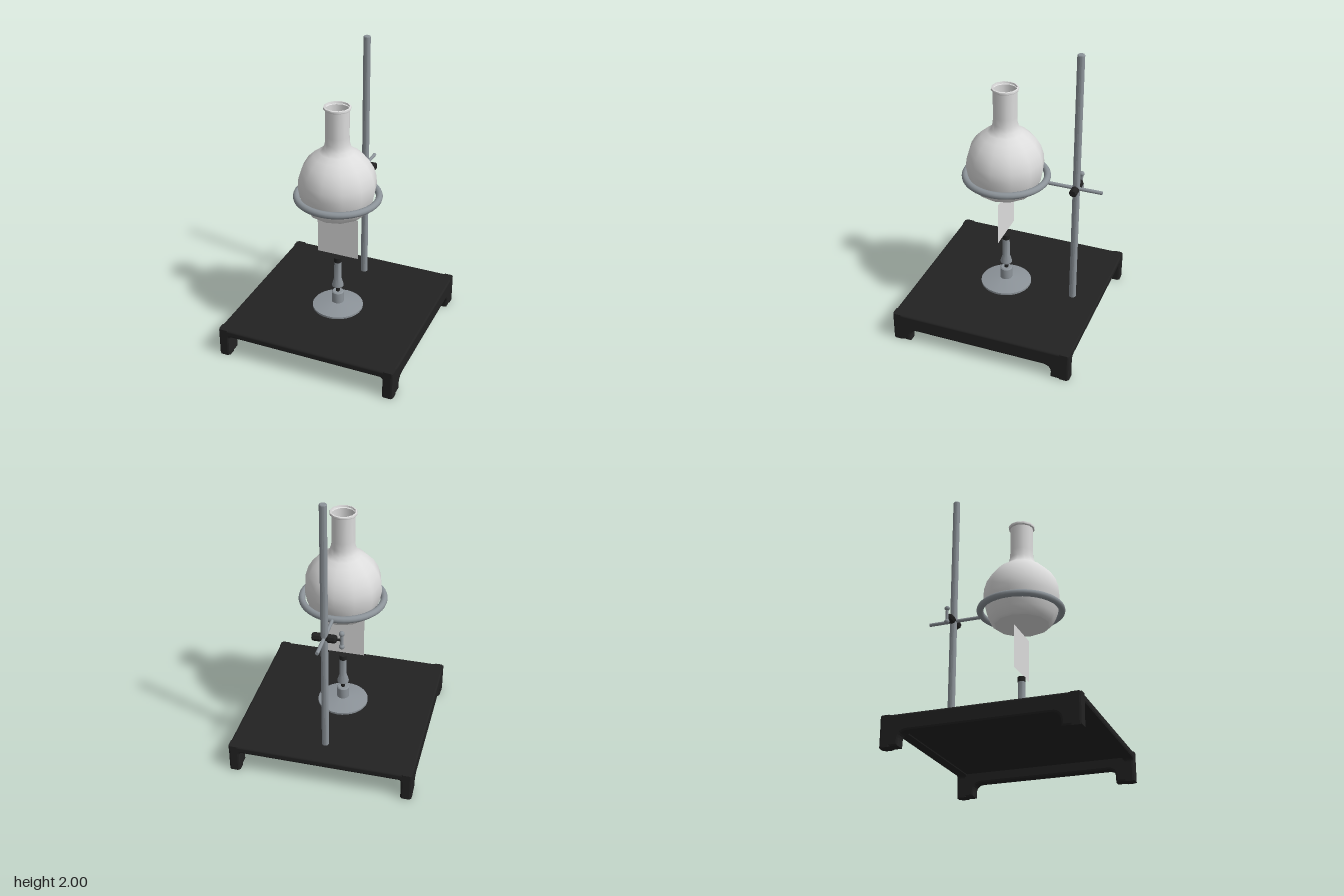
import * as THREE from 'three';
import { toCreasedNormals } from 'three/addons/utils/BufferGeometryUtils.js';
import { RoundedBoxGeometry } from 'three/addons/geometries/RoundedBoxGeometry.js';

const material = (name, color, side = THREE.FrontSide) => {
  const m = new THREE.MeshStandardMaterial({ color, side });
  m.name = name;
  return m;
};

export function createModel() {
  const black = material('black enamel', 0x222222);
  const steel = material('grey steel', 0x8c9399);
  const glass = material('pale glass', 0xdcdcdc, THREE.DoubleSide);

  const model = new THREE.Group();
  model.name = 'flaskOnStand';
  const add = (name, geometry, mat, x = 0, y = 0, z = 0, parent = model) => {
    const mesh = new THREE.Mesh(geometry, mat);
    mesh.name = name;
    mesh.position.set(x, y, z);
    parent.add(mesh);
    return mesh;
  };
  const lathe = (points, segments) =>
    new THREE.LatheGeometry(points.map(([r, y]) => new THREE.Vector2(r, y)), segments);
  const sharpLathe = (points, segments) => toCreasedNormals(lathe(points, segments), 0.6);

  const CZ = 0.048;    // axis of flask and burner
  const ROD_Z = -0.44; // axis of upright rod
  const RING_Y = 1.063;

  // Base: top plate and four arched walls that leave a foot at each corner
  const H = 0.625, B = 0.014;
  const base = new THREE.Group();
  base.name = 'base';
  model.add(base);
  const archedWall = (open, archY, fillet, thickness) => {
    const s = new THREE.Shape();
    s.moveTo(-H, 0);
    s.lineTo(-open, 0);
    s.lineTo(-open, archY - fillet);
    s.quadraticCurveTo(-open, archY, -open + fillet, archY);
    s.lineTo(open - fillet, archY);
    s.quadraticCurveTo(open, archY, open, archY - fillet);
    s.lineTo(open, 0);
    s.lineTo(H, 0);
    s.lineTo(H, 0.2);
    s.lineTo(-H, 0.2);
    s.closePath();
    const g = new THREE.ExtrudeGeometry(s, {
      depth: thickness - 2 * B, bevelThickness: B, bevelSize: B, bevelOffset: -B,
      bevelSegments: 2, curveSegments: 6,
    });
    return g.translate(0, 0, H - thickness + B);
  };
  add('topPlate', new RoundedBoxGeometry(2 * H, 0.04, 2 * H, 2, B), black, 0, 0.18, 0, base);
  const sideWall = archedWall(0.5, 0.09, 0.055, 0.075);
  const endWall = archedWall(0.55, 0.15, 0.02, 0.075);
  for (const i of [0, 1]) {
    add('endWall', endWall, black, 0, 0, 0, base).rotation.y = i * Math.PI;
    add('sideWall', sideWall, black, 0, 0, 0, base).rotation.y = (i + 0.5) * Math.PI;
  }

  // Upright rod with a slightly eased top
  add('uprightRod', sharpLathe([[0.024, 0.19], [0.024, 1.995], [0.02, 2], [0, 2]], 16),
    steel, 0, 0, ROD_Z);

  // Support ring and its arm
  const ring = add('supportRing', new THREE.TorusGeometry(0.272, 0.023, 12, 48), steel, 0, RING_Y, CZ - 0.003);
  ring.rotation.x = Math.PI / 2;
  const arm = add('ringArm', new THREE.CylinderGeometry(0.012, 0.012, 0.375, 10), steel, 0, RING_Y, -0.428);
  arm.rotation.x = Math.PI / 2;

  // Clamp across the rod, with a thumbscrew on one end
  const clamp = add('clampBody', sharpLathe([
    [0, -0.079], [0.021, -0.079], [0.028, -0.07], [0.028, -0.026], [0.022, -0.02],
    [0.022, 0.02], [0.028, 0.026], [0.028, 0.07], [0.021, 0.079], [0, 0.079],
  ], 8), black, 0, RING_Y, ROD_Z);
  clamp.rotation.z = Math.PI / 2;
  const shaft = add('screwShaft', new THREE.CylinderGeometry(0.008, 0.008, 0.04, 8), black, -0.095, RING_Y, ROD_Z);
  shaft.rotation.z = Math.PI / 2;
  add('screwBar', new THREE.CylinderGeometry(0.01, 0.01, 0.1, 8), steel, -0.112, RING_Y, ROD_Z);
  for (const s of [-1, 1]) {
    add('screwKnob', new THREE.SphereGeometry(0.018, 10, 8), steel, -0.112, RING_Y + s * 0.048, ROD_Z);
  }

  // Round-bodied flask with a flat bottom and open neck
  const flask = new THREE.Group();
  flask.name = 'flask';
  flask.position.z = CZ + 0.004;
  model.add(flask);
  add('flaskBody', lathe([
    [0.182, 0.955], [0.2, 0.967], [0.225, 1.01], [0.247, 1.07], [0.26, 1.14], [0.256, 1.2],
    [0.238, 1.26], [0.205, 1.315], [0.16, 1.36], [0.118, 1.388], [0.093, 1.412],
    [0.081, 1.45], [0.079, 1.5], [0.079, 1.68],
  ], 12), glass, 0, 0, 0, flask);
  add('flaskRim', sharpLathe([
    [0.079, 1.678], [0.089, 1.682], [0.091, 1.69], [0.089, 1.698], [0.079, 1.7], [0.076, 1.69],
  ], 12), glass, 0, 0, 0, flask);
  const bottom = add('flaskBottom', new THREE.CircleGeometry(0.182, 12), glass, 0, 0.955, 0, flask);
  bottom.rotation.x = Math.PI / 2;

  // Burner
  const burner = new THREE.Group();
  burner.name = 'burner';
  burner.position.z = CZ;
  model.add(burner);
  add('burnerFoot', sharpLathe([
    [0.174, 0.198], [0.174, 0.214], [0.045, 0.239], [0, 0.239],
  ], 32), steel, 0, 0, 0, burner);
  add('burnerCollar', sharpLathe([
    [0.042, 0.23], [0.042, 0.314], [0.036, 0.32], [0, 0.32],
  ], 16), steel, 0, 0, 0, burner);
  add('burnerJet', new THREE.CylinderGeometry(0.014, 0.014, 0.06, 12), black, 0, 0.342, 0, burner);
  add('burnerTube', sharpLathe([
    [0, 0.364], [0.04, 0.364], [0.04, 0.375], [0.025, 0.425], [0.024, 0.556],
  ], 16), steel, 0, 0, 0, burner);
  add('burnerTip', new THREE.CylinderGeometry(0.026, 0.026, 0.034, 16), black, 0, 0.572, 0, burner);

  // Thin upright flame card above the burner
  add('flameCard', new THREE.PlaneGeometry(0.292, 0.296), glass, 0, 0.757, CZ);

  return model;
}
